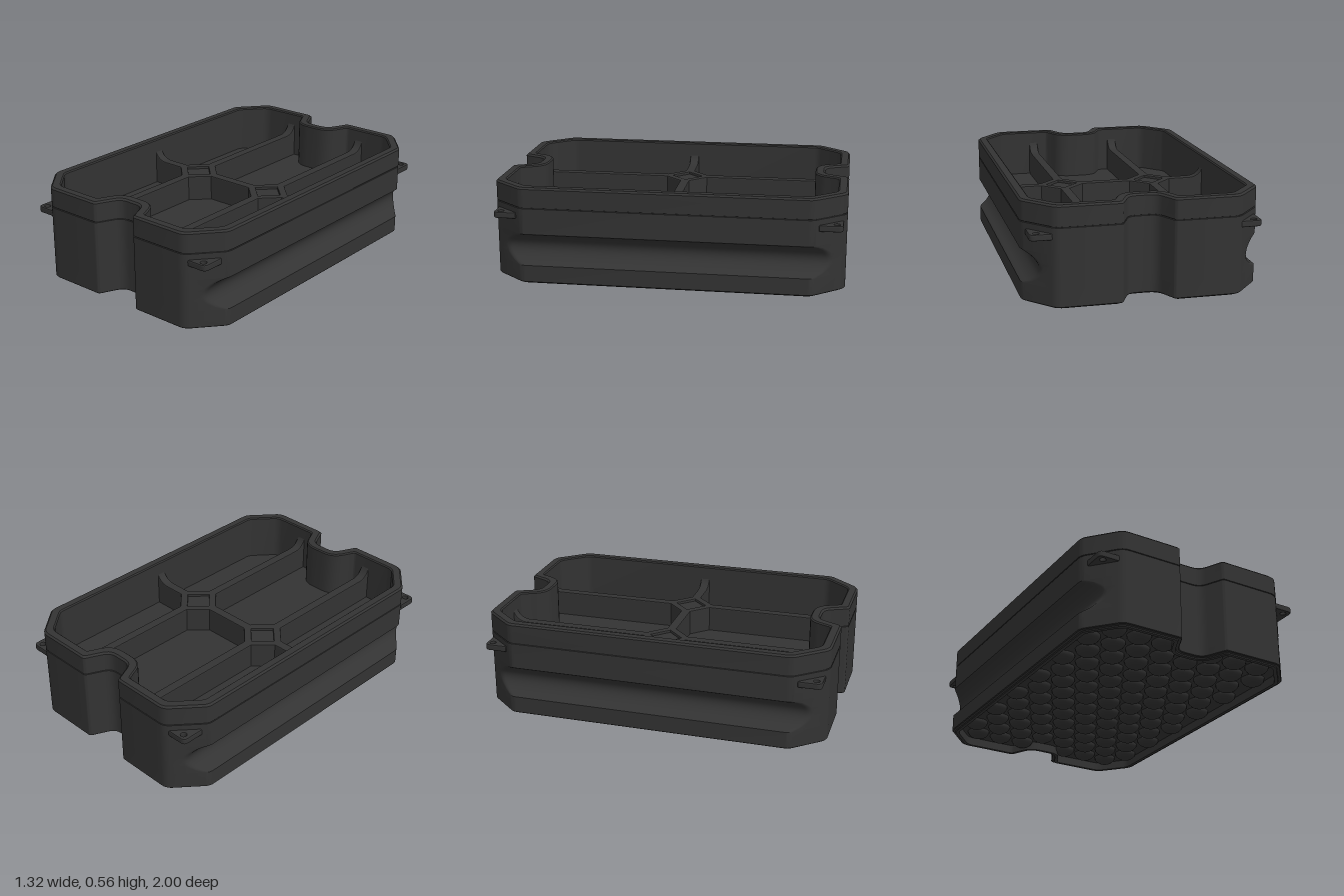
import * as THREE from 'three';
import { mergeGeometries, toCreasedNormals } from 'three/addons/utils/BufferGeometryUtils.js';

const mat = new THREE.MeshStandardMaterial({ color: 0x333333 });
const HALF_W = 0.658, TOP = 0.563, FLOOR = 0.28, DIVIDER = 0.43;

function add(parent, name, geo) {
  const m = new THREE.Mesh(geo, mat);
  m.name = name;
  parent.add(m);
  return m;
}

// Chamfered rectangle with a notch at both ends, shrunk by d; sideX moves the long sides
function outline(d, sideX = HALF_W - d) {
  const c = 1.032 - d, k = -0.291 + d, zEnd = 1 - d, zNotch = 0.86 - d;
  const quarter = [
    [(k + 0.421 * zNotch) / 0.907, zNotch, 0.045 + d * 0.6],
    [(k + 0.421 * zEnd) / 0.907, zEnd, 0.014],
    [(c - 0.653 * zEnd) / 0.758, zEnd, 0.035],
    [sideX, (c - 0.758 * sideX) / 0.653, 0.025],
  ];
  const back = [...quarter].reverse();
  const flip = (list, sx, sz) => list.map(([x, z, r]) => [x * sx, z * sz, r]);
  const corners = [...quarter, ...flip(back, 1, -1), ...flip(quarter, -1, -1), ...flip(back, -1, 1)];
  const pts = [];
  corners.forEach(([x, z, r], i) => {
    const p = new THREE.Vector2(x, z), n = corners.length;
    const toward = (q) => {
      const v = new THREE.Vector2(q[0] - x, q[1] - z), len = v.length();
      return v.multiplyScalar(Math.min(r, 0.45 * len) / len).add(p);
    };
    const curve = new THREE.QuadraticBezierCurve(
      toward(corners[(i + n - 1) % n]), p, toward(corners[(i + 1) % n]));
    pts.push(...curve.getPoints(5));
  });
  return pts;
}

// Skin a list of rings [inset, y, sideX?]
function loft(rings) {
  const pos = [], idx = [];
  let n = 0;
  rings.forEach(([d, y, sideX]) => {
    const pts = outline(d, sideX);
    n = pts.length;
    pts.forEach((p) => pos.push(p.x, y, p.y));
  });
  for (let r = 0; r < rings.length - 1; r++) {
    for (let i = 0; i < n; i++) {
      const a = r * n + i, b = r * n + (i + 1) % n;
      idx.push(a, b, b + n, a, b + n, a + n);
    }
  }
  const g = new THREE.BufferGeometry();
  g.setAttribute('position', new THREE.Float32BufferAttribute(pos, 3));
  g.setIndex(idx);
  return toCreasedNormals(g, 0.55);
}

// Flat plate filling the outline, facing up or down
function plate(d, y, up) {
  const g = new THREE.ShapeGeometry(new THREE.Shape(outline(d)));
  return g.rotateX(up ? -Math.PI / 2 : Math.PI / 2).translate(0, y, 0);
}

function extrude(shape, depth, bevel) {
  return new THREE.ExtrudeGeometry(shape, {
    depth: depth - 2 * bevel, bevelEnabled: bevel > 0, bevelThickness: bevel,
    bevelSize: bevel, bevelOffset: -bevel, bevelSegments: 2, curveSegments: 16,
  });
}

// Divider running along +x from a to b, its end optionally sweeping up the wall
function barGeometry(a, b, rise) {
  const s = new THREE.Shape();
  s.moveTo(a, FLOOR - 0.02);
  s.lineTo(b, FLOOR - 0.02);
  s.lineTo(b, DIVIDER + rise);
  if (rise) s.quadraticCurveTo(b - 0.02, DIVIDER, b - 0.09, DIVIDER);
  s.lineTo(a, DIVIDER);
  return extrude(s, 0.055, 0.006).translate(0, 0, -0.0215);
}

function diamond(r, ShapeType = THREE.Shape) {
  return new ShapeType([[r, 0], [0, r], [-r, 0], [0, -r]].map(([x, y]) => new THREE.Vector2(x, y)));
}

export function createModel() {
  const model = new THREE.Group();
  model.name = 'compartmentTray';

  // Shell: foot, grooved sides, seam, rim and inner wall
  const rings = [[0.042, 0.055], [0.04, 0], [0.02, 0], [0.018, 0.007], [0.004, 0.008], [0, 0.012]];
  const half = [[0.658, 0.092], [0.648, 0.086], [0.622, 0.073], [0.596, 0.051], [0.578, 0.026]];
  const groove = new THREE.SplineCurve([
    ...half.map(([x, h]) => new THREE.Vector2(x, 0.2 - h)),
    new THREE.Vector2(0.572, 0.2),
    ...[...half].reverse().map(([x, h]) => new THREE.Vector2(x, 0.2 + h)),
  ]);
  groove.getPoints(20).forEach((p) => rings.push([0, p.y, p.x]));
  rings.push([0, 0.441], [0.005, 0.443], [0.005, 0.445], [0, 0.447],
    [0, 0.553], [0.01, TOP], [0.05, TOP], [0.057, 0.556], [0.057, FLOOR]);
  add(model, 'shell', loft(rings));
  add(model, 'compartmentFloor', plate(0.056, FLOOR, true));
  add(model, 'basePlate', plate(0.041, 0.05, false));

  // Dividers between the six compartments
  const dividers = new THREE.Group();
  dividers.name = 'dividers';
  model.add(dividers);
  const longBar = barGeometry(0.1, 0.95, 0.08);
  const sideBar = barGeometry(0.1, 0.335, 0.06);
  const ring = diamond(0.152);
  ring.holes.push(diamond(0.092, THREE.Path));
  const nodeRing = extrude(ring, DIVIDER - FLOOR + 0.02, 0.006)
    .rotateX(-Math.PI / 2).translate(0, FLOOR - 0.014, 0);
  const nodeInset = extrude(diamond(0.1), DIVIDER - FLOOR - 0.015, 0)
    .rotateX(-Math.PI / 2).translate(0, FLOOR, 0);
  for (const s of [-1, 1]) {
    const x = 0.27 * s;
    for (const dir of [-1, 1]) {
      const bar = add(dividers, 'longDivider', longBar);
      bar.position.x = x;
      bar.rotation.y = dir * Math.PI / 2;
    }
    const side = add(dividers, 'sideDivider', sideBar);
    side.position.x = x;
    side.rotation.y = s > 0 ? 0 : Math.PI;
    add(dividers, 'junction', nodeRing).position.x = x;
    add(dividers, 'junctionInset', nodeInset).position.x = x;
  }
  add(dividers, 'middleDivider', barGeometry(-0.17, 0.17, 0));

  // Corner tabs with an eyelet
  const tab = new THREE.Shape();
  tab.moveTo(0.505, 0.98);
  tab.lineTo(0.605, 0.98);
  tab.quadraticCurveTo(0.635, 0.98, 0.635, 0.95);
  tab.lineTo(0.635, 0.85);
  tab.lineTo(0.612, 0.835);
  tab.lineTo(0.495, 0.96);
  tab.holes.push(new THREE.Path().absarc(0.595, 0.945, 0.016, 0, Math.PI * 2));
  const tabGeo = extrude(tab, 0.036, 0.007).translate(0, 0, -0.011).rotateX(Math.PI / 2);
  for (const axis of ['', 'x', 'y', 'z']) {
    const t = add(model, 'cornerTab', tabGeo);
    t.position.y = 0.391;
    if (axis) t.rotation[axis] = Math.PI;
  }

  // Staggered domes under the base
  const domes = [];
  const dome = new THREE.SphereGeometry(0.068, 16, 7, 0, Math.PI * 2, Math.PI / 2, Math.PI / 2).scale(1, 0.68, 1);
  for (let row = -6; row <= 6; row++) {
    const z = row * 0.14;
    for (let col = -4; col <= 4; col++) {
      const x = (col + (row % 2 ? 0.5 : 0)) * 0.155;
      const ax = Math.abs(x), az = Math.abs(z);
      const inNotch = az > 0.75 && ax < 0.15;
      if (ax > 0.56 || 0.758 * ax + 0.653 * az > 0.93 || inNotch) continue;
      domes.push(dome.clone().translate(x, 0.051, z));
    }
  }
  add(model, 'baseDomes', mergeGeometries(domes));

  return model;
}
